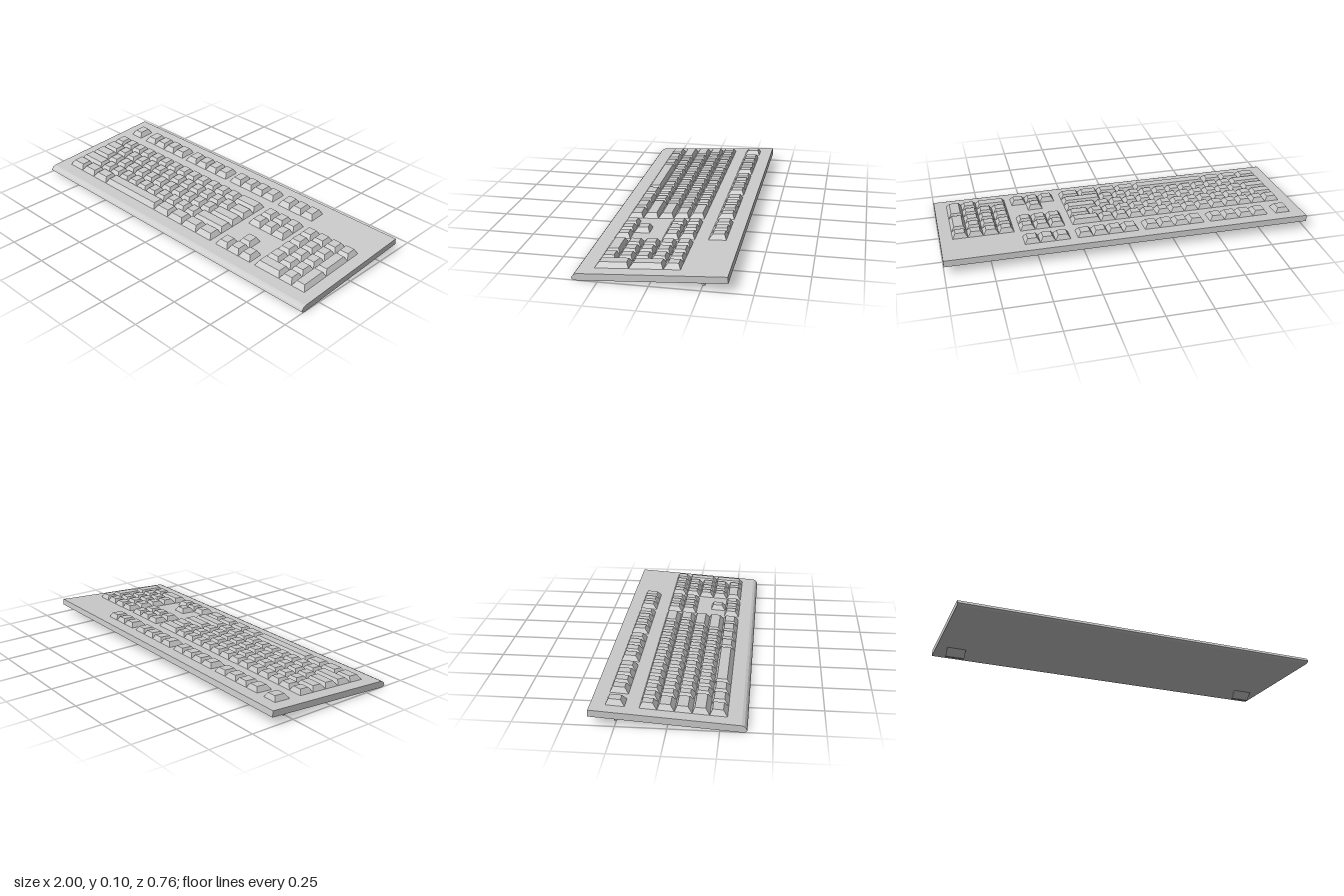
import * as THREE from 'three';

const grey = new THREE.MeshStandardMaterial({ color: 0xcccccc });

// Height of the sloping deck at depth z
const deckY = (z) => 0.0578 - 0.0637 * z;

// Extrude a (z, y) side profile along x, from x0 to x1
function profileMesh(name, points, x0, x1) {
  const shape = new THREE.Shape(points.map(([z, y]) => new THREE.Vector2(z, y)));
  const geo = new THREE.ExtrudeGeometry(shape, { depth: x1 - x0, bevelEnabled: false });
  geo.rotateY(-Math.PI / 2).translate(x1, 0, 0);
  const mesh = new THREE.Mesh(geo, grey);
  mesh.name = name;
  return mesh;
}

// Keycap: a box tapered towards its top and sheared to follow the deck
function keycap(x0, x1, z0, z1) {
  const side = 0.016, back = 0.012, front = 0.021, height = 0.027;
  const geo = new THREE.BoxGeometry(1, 1, 1);
  const p = geo.attributes.position;
  for (let i = 0; i < p.count; i++) {
    const top = p.getY(i) > 0 ? 1 : 0;
    const x = p.getX(i) < 0 ? x0 + side * top : x1 - side * top;
    const z = p.getZ(i) < 0 ? z0 + back * top : z1 - front * top;
    p.setXYZ(i, x, deckY(z) + height * top, z);
  }
  geo.computeVertexNormals();
  const mesh = new THREE.Mesh(geo, grey);
  mesh.name = 'key';
  return mesh;
}

// Row of keys side by side; widths are in key units, negative widths are gaps
function addRow(group, x, unit, widths, z0, z1) {
  for (const w of widths) {
    const next = x + Math.abs(w) * unit;
    if (w > 0) group.add(keycap(x, next, z0, z1));
    x = next;
  }
}

const ones = (n) => Array(n).fill(1);
const rowZ = (r) => -0.141 + r * 0.0848;

// Block of key rows, listed from back to front
function block(name, x, unit, rows) {
  const group = new THREE.Group();
  group.name = name;
  rows.forEach((widths, r) => addRow(group, x, unit, widths, rowZ(r), rowZ(r + 1)));
  return group;
}

export function createModel() {
  const model = new THREE.Group();
  model.name = 'keyboard';

  // Wedge-shaped case with a rounded front lip
  model.add(profileMesh('case', [
    [-0.38, 0.048], [0.347, 0], [0.36, 0], [0.371, 0.002], [0.38, 0.01],
    [0.374, 0.021], [0.366, 0.03], [0.353, deckY(0.353)], [-0.377, deckY(-0.377)],
  ], -1, 1));

  // Fold-out feet under the back edge
  for (const [name, x] of [['leftFoot', 0.89], ['rightFoot', -0.89]]) {
    model.add(profileMesh(name, [
      [-0.21, 0.037], [-0.227, 0.038], [-0.262, 0], [-0.25, 0],
    ], x - 0.052, x + 0.052));
  }

  // Back row: one single key, three groups of four, one group of three
  const backRow = new THREE.Group();
  backRow.name = 'backRow';
  for (const [x, n] of [[-0.93, 1], [-0.798, 4], [-0.427, 4], [-0.056, 4], [0.32, 3]]) {
    addRow(backRow, x, n === 4 ? 0.084 : 0.082, ones(n), -0.304, -0.211);
  }
  model.add(backRow);

  // Main typing block
  model.add(block('mainKeys', -0.93, 0.0805, [
    [...ones(13), 2],
    [1.5, ...ones(12), 1.5],
    [1.75, ...ones(11), 2.25],
    [2.25, ...ones(10), 2.75],
    [1.37, 1.37, 1.37, 5.29, 1.4, 1.4, 1.4, 1.4],
  ]));

  // Navigation and arrow keys
  model.add(block('navigationKeys', 0.32, 0.082, [
    ones(3), ones(3), [], [-1, 1], ones(3),
  ]));

  // Number pad with two double-height keys on its outer side
  const pad = block('numberPad', 0.6, 0.083, [
    ones(4), ones(3), ones(3), ones(3), [2, 1],
  ]);
  for (const r of [1, 3]) pad.add(keycap(0.849, 0.932, rowZ(r), rowZ(r + 2)));
  model.add(pad);

  return model;
}
